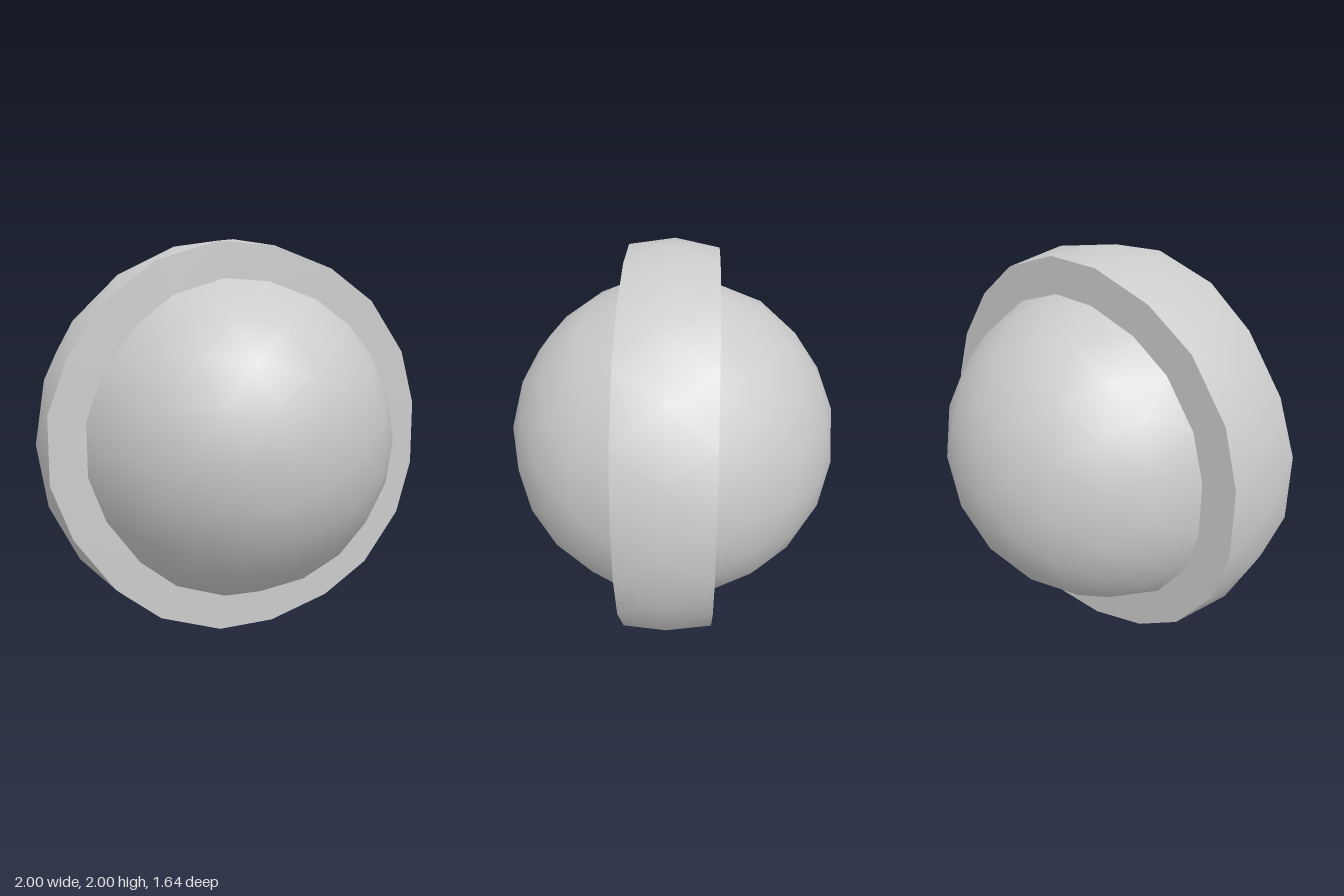
import * as THREE from 'three';
import { toCreasedNormals } from 'three/addons/utils/BufferGeometryUtils.js';

const CORE = 0.82;      // core radius, the band reaches 1
const HALF_WIDTH = 0.215;
const LEVELS = 2;

// Unit icosphere triangles, poles on z
function icosphere() {
  const ring = (z, start) => Array.from({ length: 5 }, (_, k) => {
    const a = start + k * Math.PI * 0.4, r = 2 / Math.sqrt(5);
    return new THREE.Vector3(r * Math.cos(a), r * Math.sin(a), z);
  });
  const h = 1 / Math.sqrt(5);
  const up = ring(h, Math.PI), low = ring(-h, Math.PI * 1.2);
  const front = new THREE.Vector3(0, 0, 1), back = new THREE.Vector3(0, 0, -1);
  let tris = [];
  for (let i = 0; i < 5; i++) {
    const j = (i + 1) % 5;
    tris.push([front, up[i], up[j]], [up[i], low[i], up[j]],
      [low[i], low[j], up[j]], [back, low[j], low[i]]);
  }
  const mid = (a, b) => a.clone().add(b).normalize();
  for (let n = 0; n < LEVELS; n++) {
    tris = tris.flatMap(([a, b, c]) => {
      const ab = mid(a, b), bc = mid(b, c), ca = mid(c, a);
      return [[a, ab, ca], [ab, b, bc], [ca, bc, c], [ab, bc, ca]];
    });
  }
  return tris;
}

const nearBelt = v => Math.abs(v.z) < 0.3;
const onEdge = v => nearBelt(v) && Math.abs(v.z) > 0.1;

// Scale a point, flattening the rows beside the equator to the band's side planes
function place(v, scale) {
  const p = v.clone().multiplyScalar(scale);
  if (onEdge(v)) p.z = Math.sign(v.z) * HALF_WIDTH;
  return p;
}

function meshFrom(name, points, material) {
  const geometry = toCreasedNormals(new THREE.BufferGeometry().setFromPoints(points), 0.7);
  const mesh = new THREE.Mesh(geometry, material);
  mesh.name = name;
  return mesh;
}

export function createModel() {
  const model = new THREE.Group();
  model.name = 'bandedSphere';
  const material = new THREE.MeshStandardMaterial({ color: 0xcccccc });
  const tris = icosphere();
  const belt = tris.filter(t => t.every(nearBelt));
  const rest = tris.filter(t => !t.every(nearBelt));

  // Raised outer band
  model.add(meshFrom('band', belt.flat().map(v => place(v, 1)), material));

  for (const side of [1, -1]) {
    const label = side > 0 ? 'front' : 'back';

    // Dome of the core
    const dome = rest.filter(t => t[0].z * side > 0).flat().map(v => place(v, CORE));
    model.add(meshFrom(label + 'Dome', dome, material));

    // Flat side of the band, between its rim and the dome
    const row = new Map();
    for (const v of belt.flat()) {
      if (onEdge(v) && v.z * side > 0) {
        row.set(v.toArray().map(n => Math.round(n * 1000)).join(), v);
      }
    }
    const rim = [...row.values()].sort(
      (a, b) => side * (Math.atan2(a.y, a.x) - Math.atan2(b.y, b.x)));
    const face = rim.flatMap((v, i) => {
      const w = rim[(i + 1) % rim.length];
      const a = place(v, 1), b = place(w, 1), c = place(w, CORE), d = place(v, CORE);
      return [a, b, c, a, c, d];
    });
    model.add(meshFrom(label + 'BandSide', face, material));
  }

  model.position.y = 1;
  const root = new THREE.Group();
  root.add(model);
  return root;
}
